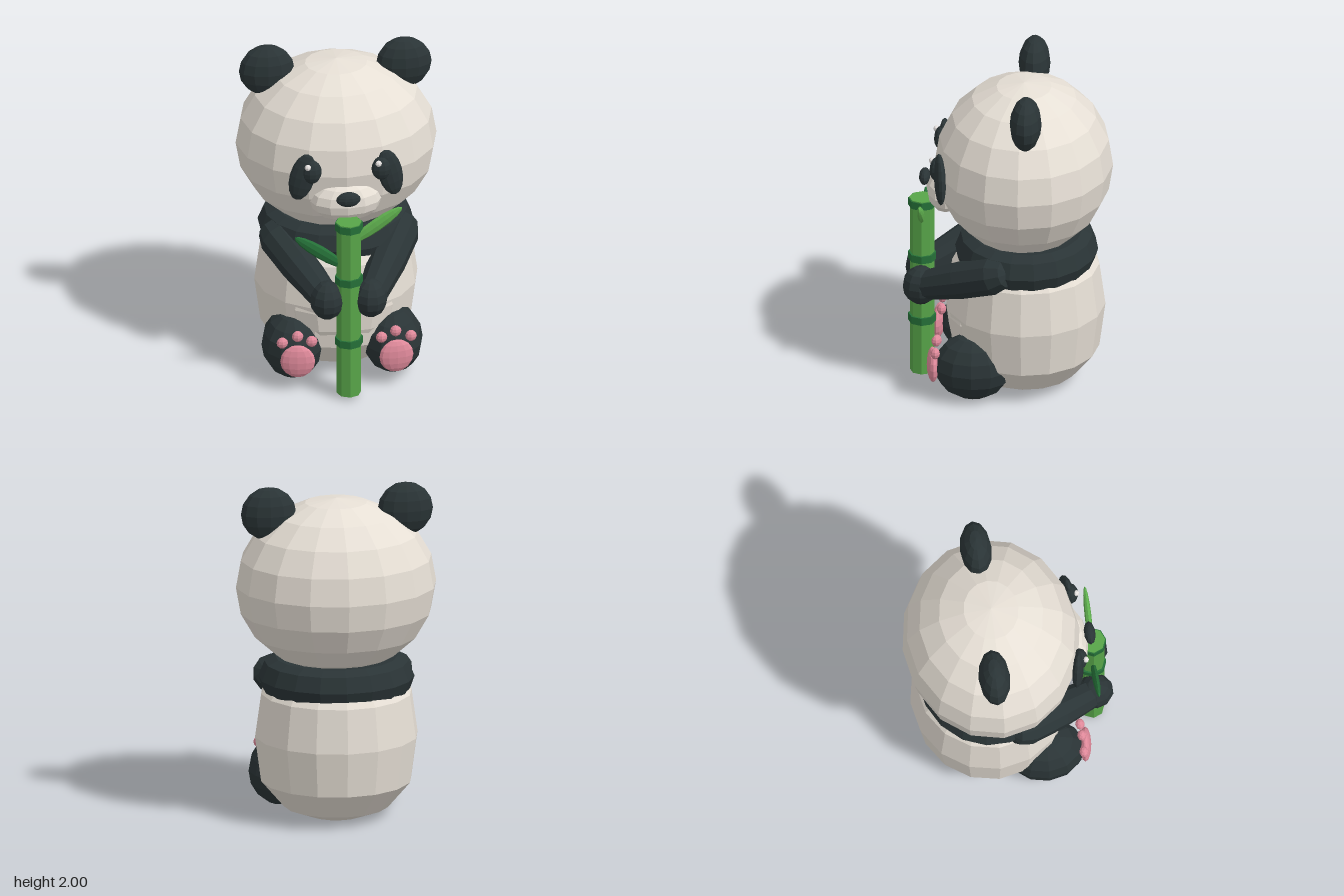
import * as THREE from 'three';

const mat = (name, color) => {
  const m = new THREE.MeshStandardMaterial({ color });
  m.name = name;
  return m;
};

export function createModel() {
  const panda = new THREE.Group();
  panda.name = 'panda';
  const cream = mat('cream fur', 0xe6dfd5);
  const dark = mat('dark fur', 0x2a3436);
  const pink = mat('pink pads', 0xe08a9b);
  const stalkGreen = mat('stalk green', 0x58a549);
  const nodeGreen = mat('deep green', 0x257038);
  const leafGreen = mat('leaf green', 0x5fb04e);
  const white = mat('eye glint', 0xf6f2f0);

  // Adds a faceted mesh
  const add = (name, geo, material, pos = [0, 0, 0], rot = [0, 0, 0]) => {
    const flat = geo.index ? geo.toNonIndexed() : geo;
    flat.computeVertexNormals();
    const mesh = new THREE.Mesh(flat, material);
    mesh.name = name;
    mesh.position.set(...pos);
    mesh.rotation.set(...rot);
    panda.add(mesh);
    return mesh;
  };
  const ball = (name, material, pos, r, rot, w = 10, h = 8) =>
    add(name, new THREE.SphereGeometry(1, w, h).scale(...r), material, pos, rot);
  const lathe = (pts, seg) =>
    new THREE.LatheGeometry(pts.map(([r, y]) => new THREE.Vector2(r, y)), seg);

  // Head and seated body
  ball('head', cream, [0, 1.39, -0.09], [0.59, 0.52, 0.52], [0, 0, 0], 16, 10);
  add('body', lathe([[0, 0], [0.16, 0.005], [0.3, 0.06], [0.43, 0.217], [0.465, 0.486],
    [0.43, 0.745], [0.3, 0.94], [0, 0.98]], 16).scale(1.03, 1, 1), cream, [0, 0, -0.1]);
  ball('belly', cream, [0, 0.45, 0.165], [0.33, 0.31, 0.2], [0, 0, 0], 12, 8);

  // Dark shoulder band
  add('shoulderBand', lathe([[0.26, 0.76], [0.35, 0.742], [0.41, 0.765], [0.435, 0.84],
    [0.40, 0.93], [0.34, 0.96], [0.26, 0.95]], 18).scale(1.05, 1, 0.96), dark, [0, 0, -0.105]);

  // Muzzle and nose
  ball('muzzle', cream, [0, 1.215, 0.36], [0.21, 0.13, 0.12], [0, 0, 0], 12, 8);
  ball('nose', dark, [0, 1.28, 0.49], [0.072, 0.046, 0.034]);

  for (const s of [1, -1]) {
    const side = s > 0 ? 'left' : 'right';
    ball(side + 'Ear', dark, [s * 0.403, 1.84, -0.125], [0.163, 0.16, 0.093], [0, 0, 0], 12, 8);

    // Eyes
    ball(side + 'EyePatch', dark, [s * 0.258, 1.39, 0.385], [0.074, 0.155, 0.034],
      [0, s * 0.22, s * 0.24], 12, 8);
    ball(side + 'Eye', dark, [s * 0.204, 1.43, 0.405], [0.058, 0.074, 0.045]);
    ball(side + 'EyeGlint', white, [s * 0.208 - 0.024, 1.476, 0.437], [0.019, 0.019, 0.017],
      [0, 0, 0], 8, 6);

    // Arms reaching to the stalk
    const a = new THREE.Vector3(s * 0.36, 0.825, 0.06);
    const b = new THREE.Vector3(s * 0.15, 0.65, 0.46);
    const dir = b.clone().sub(a);
    const len = dir.length();
    const arm = add(side + 'Arm', lathe([[0, -0.115], [0.08, -0.082], [0.113, 0], [0.112, len * 0.5],
      [0.09, len], [0.06, len + 0.06], [0, len + 0.08]], 10), dark, a.toArray());
    arm.quaternion.setFromUnitVectors(new THREE.Vector3(0, 1, 0), dir.normalize());
    ball(side + 'Hand', dark, [s * 0.128, 0.635, 0.505], [0.1, 0.118, 0.108]);

    // Feet with pads
    ball(side + 'Leg', dark, [s * 0.293, 0.2, 0.19], [0.18, 0.2, 0.23], [0, 0, 0], 12, 8);
    ball(side + 'FootPad', pink, [s * 0.29, 0.2, 0.425], [0.102, 0.104, 0.035],
      [0, s * 0.12, 0], 12, 8);
    for (const [x, y] of [[0.205, 0.315], [0.288, 0.352], [0.378, 0.315]])
      ball(side + 'ToePad', pink, [s * x, y, 0.405], [0.034, 0.034, 0.028], [0, 0, 0], 8, 6);
  }

  // Bamboo stalk with joints and leaves
  add('bambooStalk', new THREE.CylinderGeometry(0.071, 0.071, 1.12, 8), stalkGreen, [0, 0.58, 0.505]);
  for (const y of [0.365, 0.767, 1.115])
    add('bambooJoint', new THREE.CylinderGeometry(0.082, 0.082, 0.046, 8), nodeGreen, [0, y, 0.505]);
  // Caps the top joint in the stalk colour
  add('stalkTop', new THREE.CylinderGeometry(0.076, 0.076, 0.006, 8), stalkGreen, [0, 1.14, 0.505]);
  ball('leftLeaf', leafGreen, [0.165, 1.11, 0.503], [0.04, 0.182, 0.02], [0, 0, -0.95], 8, 8);
  ball('rightLeaf', nodeGreen, [-0.168, 0.95, 0.503], [0.04, 0.182, 0.02], [0, 0, 0.95], 8, 8);

  return panda;
}
